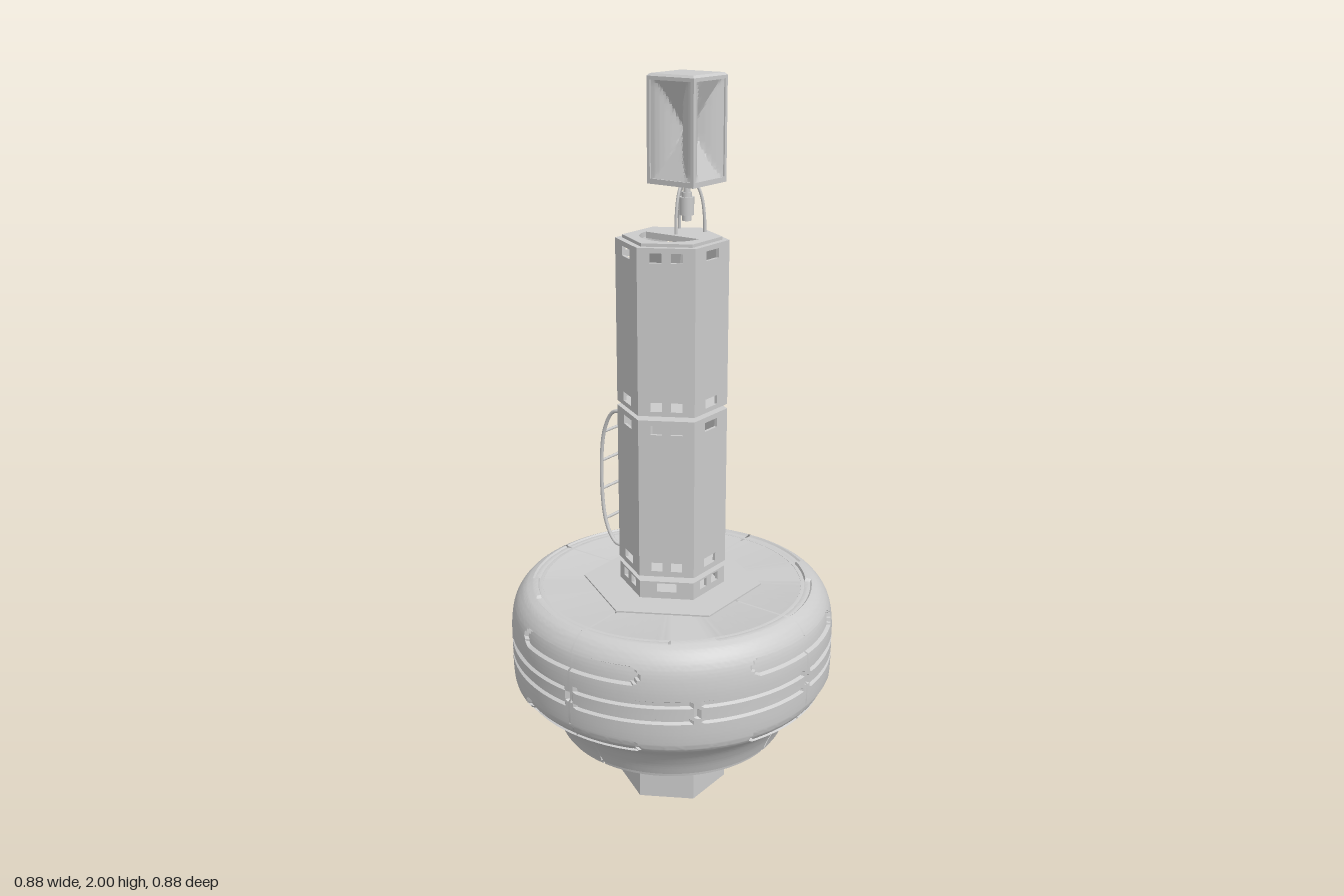
import * as THREE from 'three';
import { toCreasedNormals, mergeGeometries } from 'three/addons/utils/BufferGeometryUtils.js';

const mat = new THREE.MeshStandardMaterial({ color: 0xcccccc, side: THREE.DoubleSide });
const V = (x, y, z) => new THREE.Vector3(x, y, z);
const P = (x, y) => new THREE.Vector2(x, y);

function add(parent, name, geometry, x = 0, y = 0, z = 0) {
  const mesh = new THREE.Mesh(geometry, mat);
  mesh.name = name;
  mesh.position.set(x, y, z);
  parent.add(mesh);
  return mesh;
}

// Upright hexagonal prism with corners on the z axis, from y0 to y1
function hexPrism(parent, name, r, y0, y1) {
  const g = toCreasedNormals(new THREE.CylinderGeometry(r, r, y1 - y0, 6), 0.3);
  return add(parent, name, g, 0, (y0 + y1) / 2, 0);
}

function rectPath(PathType, cx, cy, w, h) {
  const p = new PathType();
  p.moveTo(cx - w / 2, cy - h / 2);
  p.lineTo(cx + w / 2, cy - h / 2);
  p.lineTo(cx + w / 2, cy + h / 2);
  p.lineTo(cx - w / 2, cy + h / 2);
  p.closePath();
  return p;
}

// Hollow six-sided tower section; faces alternate one wide and two narrow slots
function towerSection(name, r, y0, y1, rows, swap, hatch) {
  const group = new THREE.Group();
  group.name = name;
  const t = 0.008, apothem = r * Math.cos(Math.PI / 6);
  for (let i = 0; i < 6; i++) {
    const shape = rectPath(THREE.Shape, 0, (y0 + y1) / 2, r, y1 - y0);
    const single = (i % 2 === 0) !== swap;
    for (const y of rows) {
      const slots = single ? [[0, 0.052]] : [[-0.026, 0.03], [0.026, 0.03]];
      for (const [x, w] of slots) shape.holes.push(rectPath(THREE.Path, x, y, w, 0.024));
    }
    if (hatch && i === 3) shape.holes.push(rectPath(THREE.Path, 0, 1.455, 0.1, 0.19));
    const g = new THREE.ExtrudeGeometry(shape, { depth: t, bevelEnabled: false });
    g.translate(0, 0, apothem - t);
    g.rotateY(Math.PI / 2 - i * Math.PI / 3);
    add(group, 'wallPanel', g);
  }
  return group;
}

// Float body: quarter shells with pill recesses, grooves and a stepped rim
function buildFloat() {
  const group = new THREE.Group();
  group.name = 'float';
  const side = new THREE.SplineCurve([
    P(0.308, 0.25), P(0.325, 0.29), P(0.355, 0.335), P(0.4, 0.37), P(0.427, 0.395),
    P(0.434, 0.43), P(0.435, 0.5), P(0.434, 0.57), P(0.424, 0.62), P(0.4, 0.655), P(0.372, 0.67),
  ]).getSpacedPoints(100);
  const profile = [P(0, 0.245), P(0.285, 0.245), P(0.288, 0.238), P(0.3, 0.238), P(0.302, 0.249),
    ...side, P(0.366, 0.671), P(0.36, 0.671), P(0.357, 0.664), P(0, 0.664)];
  const quarter = new THREE.LatheGeometry(profile, 72, 0, Math.PI / 2);
  const pos = quarter.attributes.position;
  const deg = 180 / Math.PI;
  for (let i = 0; i < pos.count; i++) {
    const x = pos.getX(i), y = pos.getY(i), z = pos.getZ(i), r = Math.hypot(x, z);
    if (r < 0.3) continue;
    const a = Math.atan2(x, z) * deg;
    const fromAxis = Math.min(a, 90 - a);
    const fromEighth = Math.min(fromAxis, 45 - fromAxis);
    let cut = 0;
    for (const yc of [0.4, 0.602]) {
      const end = Math.max(0, fromAxis - 22.5) / deg * 0.435;
      if (Math.hypot(end, y - yc) < 0.02) cut = 0.009;
    }
    const off = Math.abs(y - 0.505);
    if (off > 0.018 && off < 0.03 && fromEighth > 2) cut = 0.008;
    if (off < 0.012 && fromEighth < 1.2) cut = 0.008;
    if (cut) pos.setXYZ(i, x * (1 - cut / r), y, z * (1 - cut / r));
    else if (r > 0.358 && r < 0.373 && y > 0.66 && fromAxis < 36) pos.setY(i, y - 0.006);
  }
  const shell = toCreasedNormals(quarter, 0.45);
  for (let i = 0; i < 4; i++) {
    const g = shell.clone().translate(0.003, 0, 0.003).rotateY(i * Math.PI / 2);
    add(group, 'floatQuarter', g);
  }
  // Inner body seen in the seams between the quarters
  const core = new THREE.LatheGeometry(profile.filter((p, i) => i < 5 || i > 104 || i % 5 === 0), 96);
  core.translate(0, -0.455, 0).scale(0.975, 0.97, 0.975).translate(0, 0.455, 0);
  add(group, 'floatCore', toCreasedNormals(core, 0.5));
  hexPrism(group, 'deckPlate', 0.243, 0.64, 0.668);
  hexPrism(group, 'keelPlate', 0.243, 0.241, 0.27);
  return group;
}

// Top lid with a half-round opening and a faceted bowl under it
function buildLid() {
  const group = new THREE.Group();
  group.name = 'towerLid';
  for (const [r, top, depth] of [[0.142, 1.604, 0.008], [0.126, 1.612, 0.008]]) {
    const corners = [];
    for (let i = 0; i < 6; i++) {
      const a = Math.PI / 2 + i * Math.PI / 3;
      corners.push(P(r * Math.cos(a), r * Math.sin(a)));
    }
    const shape = new THREE.Shape(corners);
    const hole = new THREE.Path();
    hole.absarc(0, 0, 0.082, 0, Math.PI, false);
    hole.closePath();
    shape.holes.push(hole);
    const g = new THREE.ExtrudeGeometry(shape, { depth, bevelEnabled: false, curveSegments: 16 });
    add(group, 'lidPlate', g.rotateX(Math.PI / 2), 0, top, 0);
  }
  const bowl = new THREE.SphereGeometry(0.083, 5, 2, 0, Math.PI, Math.PI / 2, Math.PI / 2);
  add(group, 'bowl', toCreasedNormals(bowl, 0.1), 0, 1.6, 0);
  return group;
}

// Bowed side ladder
function buildLadder() {
  const group = new THREE.Group();
  group.name = 'ladder';
  const rail = new THREE.CatmullRomCurve3([
    V(-0.122, 1.142, 0), V(-0.15, 1.135, 0), V(-0.18, 1.08, 0), V(-0.193, 0.95, 0),
    V(-0.18, 0.815, 0), V(-0.15, 0.762, 0), V(-0.122, 0.755, 0)]);
  for (const z of [-0.06, 0.06]) add(group, 'rail', new THREE.TubeGeometry(rail, 40, 0.005, 8), 0, 0, z);
  for (const t of [0.22, 0.41, 0.59, 0.78]) {
    const p = rail.getPointAt(t);
    add(group, 'rung', new THREE.CylinderGeometry(0.004, 0.004, 0.12, 8).rotateX(Math.PI / 2), p.x, p.y, 0);
  }
  return group;
}

// Reflector head: framed box with four pinched, concave faces
function buildHead() {
  const group = new THREE.Group();
  group.name = 'reflectorHead';
  group.position.set(0, 0, -0.062);
  const w = 0.142, half = w / 2, iw = w - 0.014, y0 = 1.735, y1 = 2;
  const ih = y1 - y0 - 0.026;
  const face = new THREE.PlaneGeometry(iw, ih, 24, 24);
  const pos = face.attributes.position;
  for (let i = 0; i < pos.count; i++) {
    const u = Math.abs(pos.getX(i)) / (iw / 2), v = Math.abs(pos.getY(i)) / (ih / 2);
    pos.setZ(i, half - 0.004 - 0.052 * Math.min((1 - u) ** 2, 1 - v));
  }
  const dish = toCreasedNormals(face, 0.35);
  for (let i = 0; i < 4; i++) {
    add(group, 'reflectorFace', dish.clone().rotateY(i * Math.PI / 2), 0, (y0 + y1) / 2, 0);
    const c = half - 0.0045, sx = i < 2 ? 1 : -1, sz = i % 2 ? 1 : -1;
    add(group, 'cornerPost', new THREE.BoxGeometry(0.009, y1 - y0 - 0.02, 0.009), sx * c, (y0 + y1) / 2, sz * c);
  }
  // Four-sided lids with chamfered edges
  const plate = (r0, r1, h) => toCreasedNormals(
    new THREE.CylinderGeometry(r1 * Math.SQRT2, r0 * Math.SQRT2, h, 4).rotateY(Math.PI / 4), 0.2);
  add(group, 'topEdge', plate(half, half, 0.009), 0, y1 - 0.0105, 0);
  add(group, 'topChamfer', plate(half, half - 0.006, 0.006), 0, y1 - 0.003, 0);
  add(group, 'bottomPlate', plate(half, half, 0.013), 0, y0 + 0.0065, 0);

  // Stem and three bent support wires
  const stem = [[0.019, 1.655, 1.7], [0.013, 1.7, 1.712], [0.009, 1.712, 1.737], [0.012, 1.64, 1.655]]
    .map(([r, a, b]) => new THREE.CylinderGeometry(r, r, b - a, 16).translate(0, (a + b) / 2, 0));
  add(group, 'stem', mergeGeometries(stem));
  const wire = new THREE.CatmullRomCurve3([
    V(0.046, 1.605, 0), V(0.045, 1.65, 0), V(0.038, 1.7, 0), V(0.026, 1.728, 0), V(0.01, 1.736, 0)]);
  for (let i = 0; i < 3; i++) {
    add(group, 'supportWire', new THREE.TubeGeometry(wire, 20, 0.004, 8)).rotation.y =
      -Math.PI / 2 + i * Math.PI * 2 / 3;
  }
  return group;
}

export function createModel() {
  const model = new THREE.Group();
  model.name = 'buoy';
  model.add(buildFloat());

  // Tower sections with end plates and short necks between them
  model.add(towerSection('towerFoot', 0.142, 0.664, 0.716, [0.699], true, false));
  model.add(towerSection('lowerTower', 0.144, 0.732, 1.164, [0.759, 1.138], false, false));
  model.add(towerSection('upperTower', 0.144, 1.176, 1.604, [1.2, 1.579], false, true));
  for (const y of [0.711, 0.732, 1.159, 1.176]) hexPrism(model, 'endPlate', 0.14, y, y + 0.005);
  for (const y of [0.724, 1.17]) add(model, 'neck', new THREE.CylinderGeometry(0.042, 0.042, 0.02, 24), 0, y, 0);
  model.add(buildLid(), buildLadder(), buildHead());

  // Keel block with a mooring eye
  hexPrism(model, 'keelBlock', 0.15, 0.056, 0.25);
  add(model, 'mooringEye', new THREE.TorusGeometry(0.027, 0.007, 10, 32), 0, 0.034, 0);
  return model;
}
